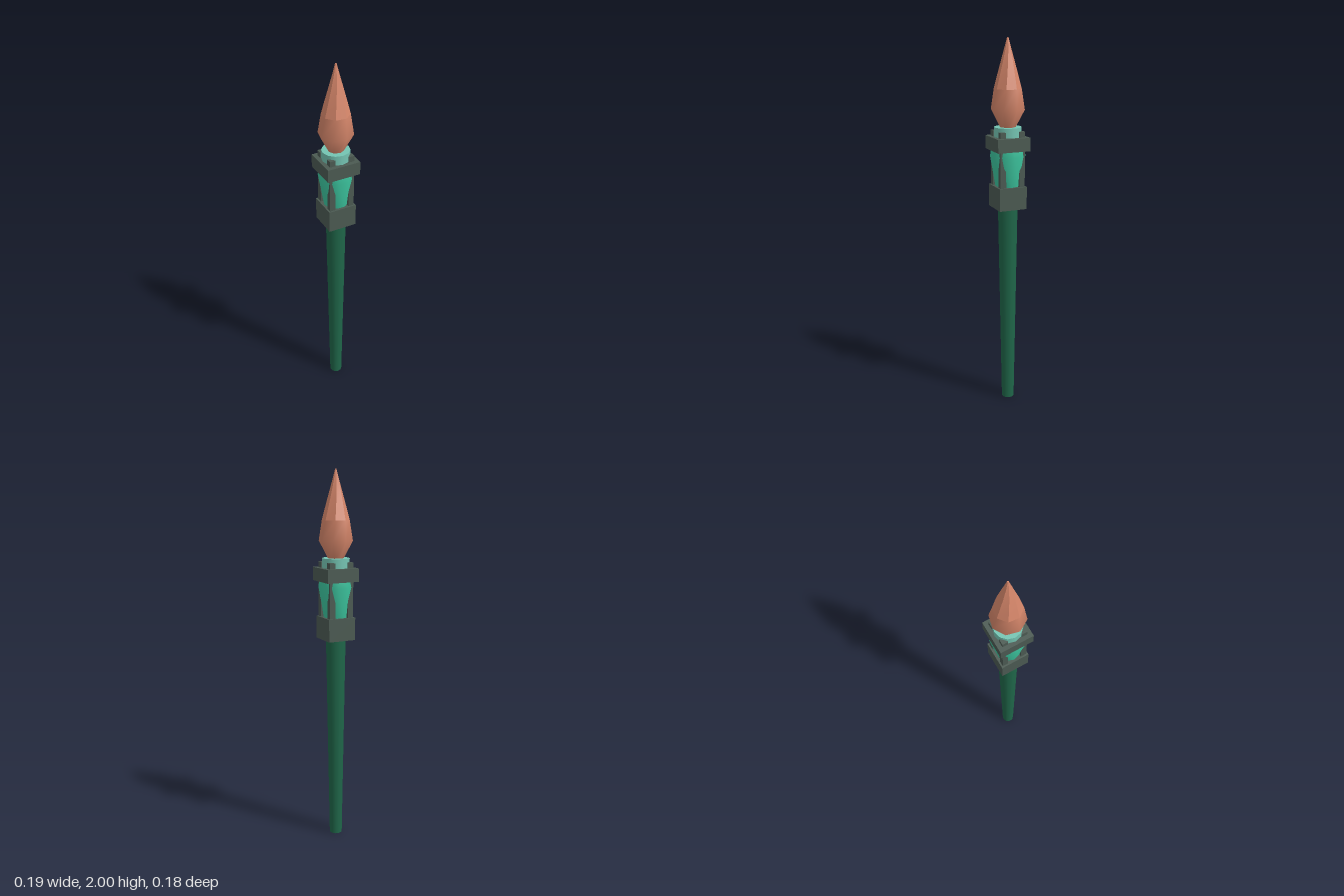
import * as THREE from 'three';
import { toCreasedNormals } from 'three/addons/utils/BufferGeometryUtils.js';

const material = (name, color) => {
  const m = new THREE.MeshStandardMaterial({ color });
  m.name = name;
  return m;
};

// Lofts eight-sided rings [height, radius, twist in degrees] into a spiral skin
function twistedLoft(rings, sides = 8) {
  const positions = [], indices = [];
  for (const [y, r, twist] of rings) {
    for (let i = 0; i < sides; i++) {
      const a = (i / sides) * Math.PI * 2 + THREE.MathUtils.degToRad(twist);
      positions.push(r * Math.cos(a), y, -r * Math.sin(a));
    }
  }
  for (let k = 0; k < rings.length - 1; k++) {
    for (let i = 0; i < sides; i++) {
      const a = k * sides + i, b = k * sides + (i + 1) % sides;
      indices.push(a, b, b + sides, a, b + sides, a + sides);
    }
  }
  const g = new THREE.BufferGeometry();
  g.setAttribute('position', new THREE.Float32BufferAttribute(positions, 3));
  g.setIndex(indices);
  g.computeVertexNormals();
  return g;
}

export function createModel() {
  const wood = material('dark green', 0x1f6649);
  const glass = material('bright teal', 0x3bc29c);
  const pale = material('pale teal', 0x74c4b2);
  const iron = material('dark grey', 0x4b5a52);
  const copper = material('copper', 0xd5866a);

  const group = new THREE.Group();
  group.name = 'torch';
  const add = (name, geometry, mat, x = 0, y = 0, z = 0) => {
    const mesh = new THREE.Mesh(geometry, mat);
    mesh.name = name;
    mesh.position.set(x, y, z);
    group.add(mesh);
    return mesh;
  };

  // Tapered shaft
  add('handle', new THREE.CylinderGeometry(0.053, 0.034, 1.14, 12), wood, 0, 0.57);

  // Flared cup, with corners on the x axis
  const profile = [[0, 1.23], [0.064, 1.23], [0.093, 1.4], [0.084, 1.46], [0, 1.46]];
  const cup = new THREE.LatheGeometry(profile.map(([r, y]) => new THREE.Vector2(r, y)), 10, Math.PI / 2);
  add('cup', toCreasedNormals(cup, 0.75), glass);

  // Round rim under the flame
  add('rim', new THREE.CylinderGeometry(0.073, 0.073, 0.1, 12), pale, 0, 1.5);

  // Square metal cage: two bands and four corner posts
  add('lowerBand', new THREE.BoxGeometry(0.153, 0.12, 0.153), iron, 0, 1.18);
  add('upperBand', new THREE.BoxGeometry(0.18, 0.07, 0.18), iron, 0, 1.465);
  for (const sx of [-1, 1]) {
    for (const sz of [-1, 1]) {
      add('cornerPost', new THREE.BoxGeometry(0.031, 0.31, 0.031), iron, sx * 0.0525, 1.375, sz * 0.0525);
    }
  }

  // Spiral flame: smooth belly, ridged upper part and a tiny blunt tip
  add('flameBelly', twistedLoft([[1.54, 0.037, 9], [1.64, 0.09, 9], [1.745, 0.072, 17]]), copper);
  const upper = twistedLoft([[1.745, 0.072, 17], [1.81, 0.055, 20], [1.88, 0.036, 25], [1.95, 0.017, 33], [2, 0.004, 45]]);
  add('flameTip', toCreasedNormals(upper, 0.55), copper);
  const cap = new THREE.CircleGeometry(0.004, 8, 0);
  cap.rotateX(-Math.PI / 2);
  add('flameCap', cap, copper, 0, 2);

  return group;
}
